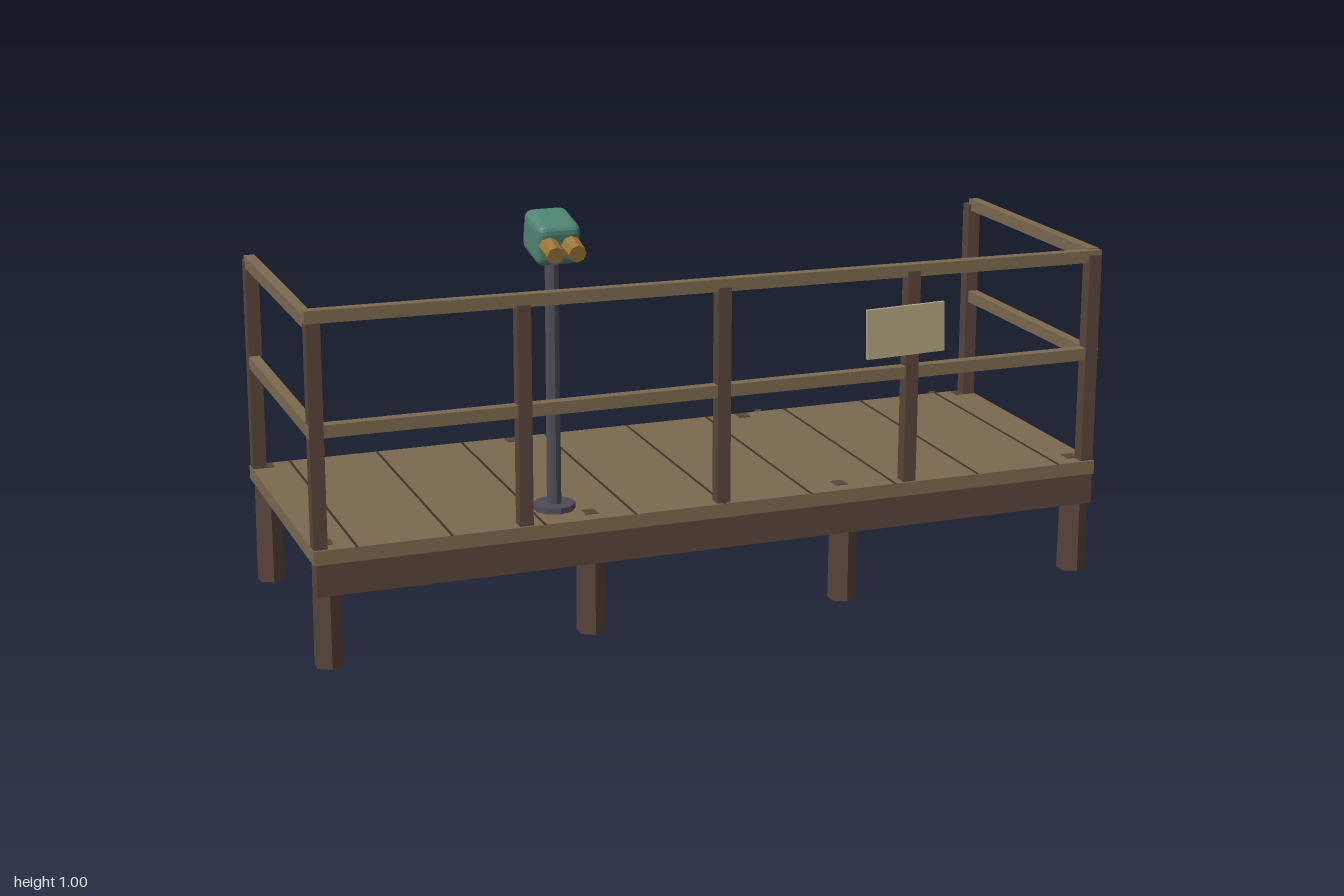
import * as THREE from 'three';
import { RoundedBoxGeometry } from 'three/addons/geometries/RoundedBoxGeometry.js';

function mat(name, color, flatShading = true) {
  const m = new THREE.MeshStandardMaterial({ color, flatShading });
  m.name = name;
  return m;
}

export function createModel() {
  const root = new THREE.Group();
  root.name = 'viewingPlatform';
  const plankWood = mat('plank wood', 0x7c6a50);
  const darkWood = mat('dark wood', 0x5a453a);
  const gapBrown = mat('gap brown', 0x40352a);
  const metal = mat('slate metal', 0x4f4c58);
  const teal = mat('teal paint', 0x4f8575);
  const brass = mat('brass', 0x9c7638);
  const tan = mat('sign tan', 0xb3a680);

  function add(name, geometry, material, x, y, z, parent = root) {
    const m = new THREE.Mesh(geometry, material);
    m.name = name;
    m.position.set(x, y, z);
    parent.add(m);
    return m;
  }
  const box = (name, material, w, h, d, x, y, z, parent) =>
    add(name, new THREE.BoxGeometry(w, h, d), material, x, y, z, parent);

  // Deck with cross-laid planks and dark seams
  box('deck', plankWood, 1.99, 0.035, 0.695, 0, 0.2715, 0.152);
  for (let i = -4; i <= 4; i++) {
    box('plankSeam', gapBrown, 0.006, 0.002, 0.695, i * 0.2235, 0.2892, 0.152);
  }
  box('fascia', darkWood, 1.98, 0.076, 0.012, 0, 0.217, 0.494);

  // Six-sided support piles, their tops just showing through the deck
  for (const x of [-0.96, -0.325, 0.325, 0.96]) {
    for (const z of [0.464, -0.155]) {
      add('pile', new THREE.CylinderGeometry(0.033, 0.035, 0.262, 6), darkWood, x, 0.131, z);
      box('pileTop', darkWood, 0.03, 0.004, 0.035, x - Math.sign(x) * 0.005, 0.2885, z - 0.018);
    }
  }

  // Railing posts
  const railPost = (x, z) => box('railPost', darkWood, 0.033, 0.53, 0.033, x, 0.55, z);
  for (const x of [-0.977, -0.49, 0, 0.487, 0.977]) railPost(x, 0.477);
  for (const x of [-0.977, 0.977]) railPost(x, -0.172);

  // Front rails, the top one sagging slightly to one side
  const topRail = box('frontTopRail', plankWood, 1.99, 0.03, 0.026, 0, 0.82, 0.477);
  topRail.rotation.z = -0.009;
  box('frontMiddleRail', plankWood, 1.99, 0.03, 0.026, 0, 0.565, 0.479);

  // Side rails
  for (const x of [-0.98, 0.98]) {
    box('sideTopRail', plankWood, 0.026, 0.03, 0.645, x, 0.814, 0.153);
    box('sideMiddleRail', plankWood, 0.026, 0.03, 0.645, x, 0.563, 0.16);
  }

  // Notice board
  const sign = box('signBoard', tan, 0.203, 0.122, 0.009, 0.463, 0.673, 0.499);
  sign.rotation.z = 0.025;

  // Rear steps: slanted stringers cut flat at the ground
  const profile = new THREE.Shape([
    [0.19, 0.245], [0.23, 0.284], [0.495, 0.025], [0.475, 0], [0.452, 0],
  ].map(([a, b]) => new THREE.Vector2(a, b)));
  for (const x of [0.387, 0.903]) {
    const geo = new THREE.ExtrudeGeometry(profile, { depth: 0.016, bevelEnabled: false });
    geo.translate(0, 0, -0.008);
    add('stairStringer', geo, darkWood, x, 0, 0).rotation.y = Math.PI / 2;
  }
  for (let i = 0; i < 3; i++) {
    box('stairTread', plankWood, 0.5, 0.019, 0.09, 0.645, 0.226 - i * 0.075, -0.27 - i * 0.0945);
  }

  // Pole-mounted binocular viewer
  const px = -0.39, pz = 0.39;
  add('viewerBase', new THREE.CylinderGeometry(0.05, 0.05, 0.015, 10), metal, px, 0.296, pz);
  add('viewerPole', new THREE.CylinderGeometry(0.017, 0.018, 0.59, 8), metal, px, 0.587, pz);
  const head = new THREE.Group();
  head.name = 'viewerHead';
  head.position.set(px, 0.946, pz);
  head.rotation.x = 0.2;
  root.add(head);
  add('viewerHousing', new RoundedBoxGeometry(0.104, 0.1, 0.125, 2, 0.02), teal, 0, 0, 0, head);
  for (const s of [-1, 1]) {
    const eye = add('eyepiece', new THREE.CylinderGeometry(0.021, 0.023, 0.06, 8), brass, s * 0.026, 0.003, 0.085, head);
    eye.rotation.x = Math.PI / 2;
  }
  box('coinKnob', brass, 0.022, 0.034, 0.012, 0.055, -0.032, 0.005, head);

  return root;
}
